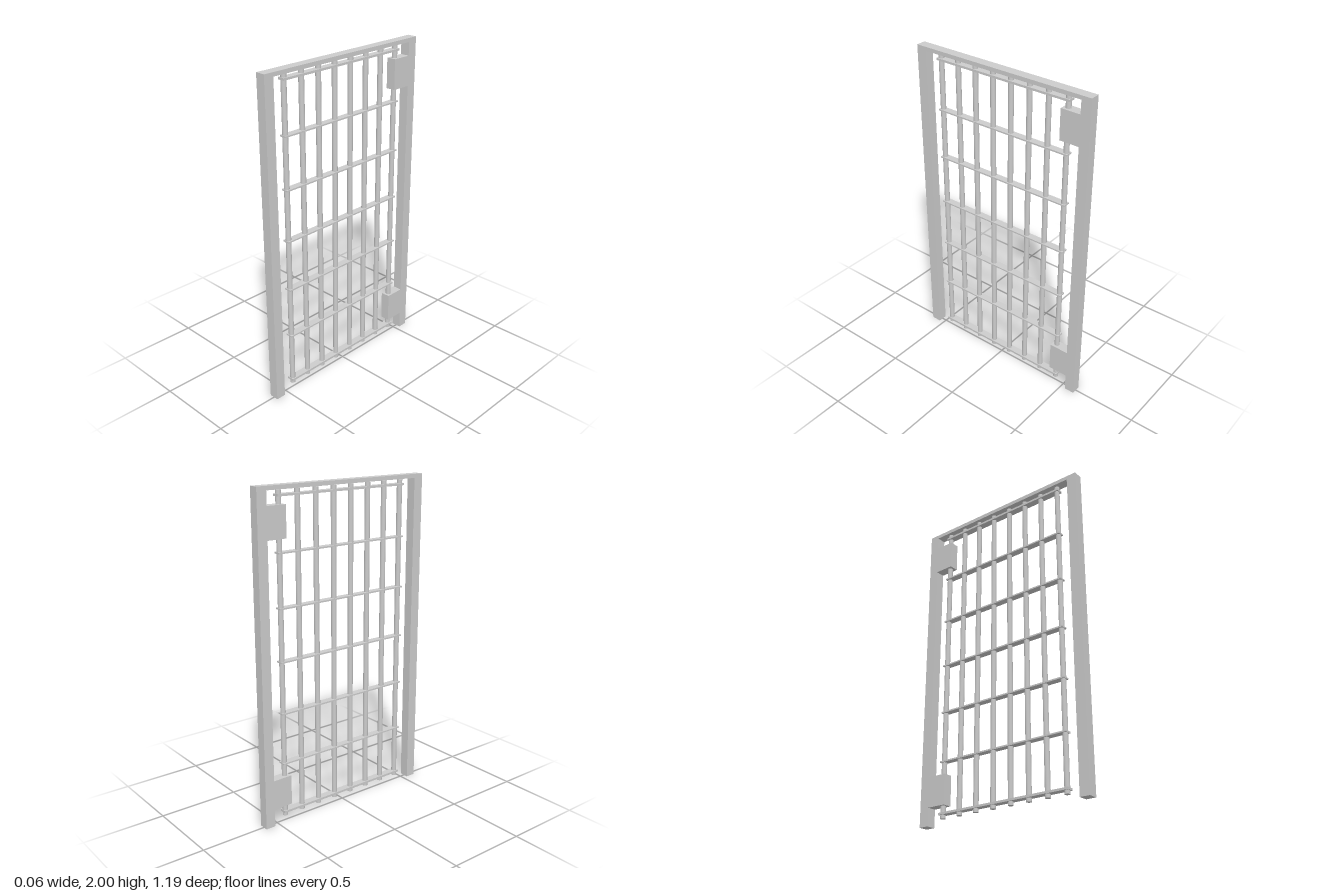
import * as THREE from 'three';

const material = new THREE.MeshStandardMaterial({ color: 0xcccccc });

function add(parent, name, geometry, x, y, z) {
  const mesh = new THREE.Mesh(geometry, material);
  mesh.name = name;
  mesh.position.set(x, y, z);
  parent.add(mesh);
}

export function createModel() {
  const model = new THREE.Group();
  model.name = 'barredDoor';

  const depth = 0.06, halfWidth = 0.594, post = 0.062, lintel = 0.024;

  // Frame, lintel and hinge plates: one flush outline in the z-y plane
  const inner = halfWidth - post, plate = 0.409;
  const outline = [
    [halfWidth, 0], [halfWidth, 2], [-halfWidth, 2], [-halfWidth, 0], [-inner, 0],
    [-inner, 0.11], [-plate, 0.11], [-plate, 0.295], [-inner, 0.295],
    [-inner, 1.71], [-plate, 1.71], [-plate, 1.895], [-inner, 1.895],
    [-inner, 2 - lintel], [inner, 2 - lintel], [inner, 0],
  ].map(([z, y]) => new THREE.Vector2(-z, y));
  const frame = new THREE.ExtrudeGeometry(new THREE.Shape(outline), { depth, bevelEnabled: false });
  frame.translate(0, 0, -depth / 2).rotateY(Math.PI / 2);
  add(model, 'frameWithHingePlates', frame, 0, 0, 0);

  const door = new THREE.Group();
  door.name = 'door';
  model.add(door);

  // Upright round bars
  const bars = 8, span = 0.876, bottom = 0.035, top = 1.972;
  const barGeometry = new THREE.CylinderGeometry(0.016, 0.016, top - bottom, 16);
  for (let i = 0; i < bars; i++) {
    add(door, 'uprightBar', barGeometry, 0, (top + bottom) / 2, -span / 2 + (span * i) / (bars - 1));
  }

  // Flat cross slats, the end ones slightly thicker
  const slats = 7;
  for (let i = 0; i < slats; i++) {
    const thick = i === 0 || i === slats - 1 ? 0.013 : 0.009;
    add(door, 'crossSlat', new THREE.BoxGeometry(0.044, thick, 0.912), 0, 0.063 + 0.3135 * i, 0);
  }

  return model;
}
